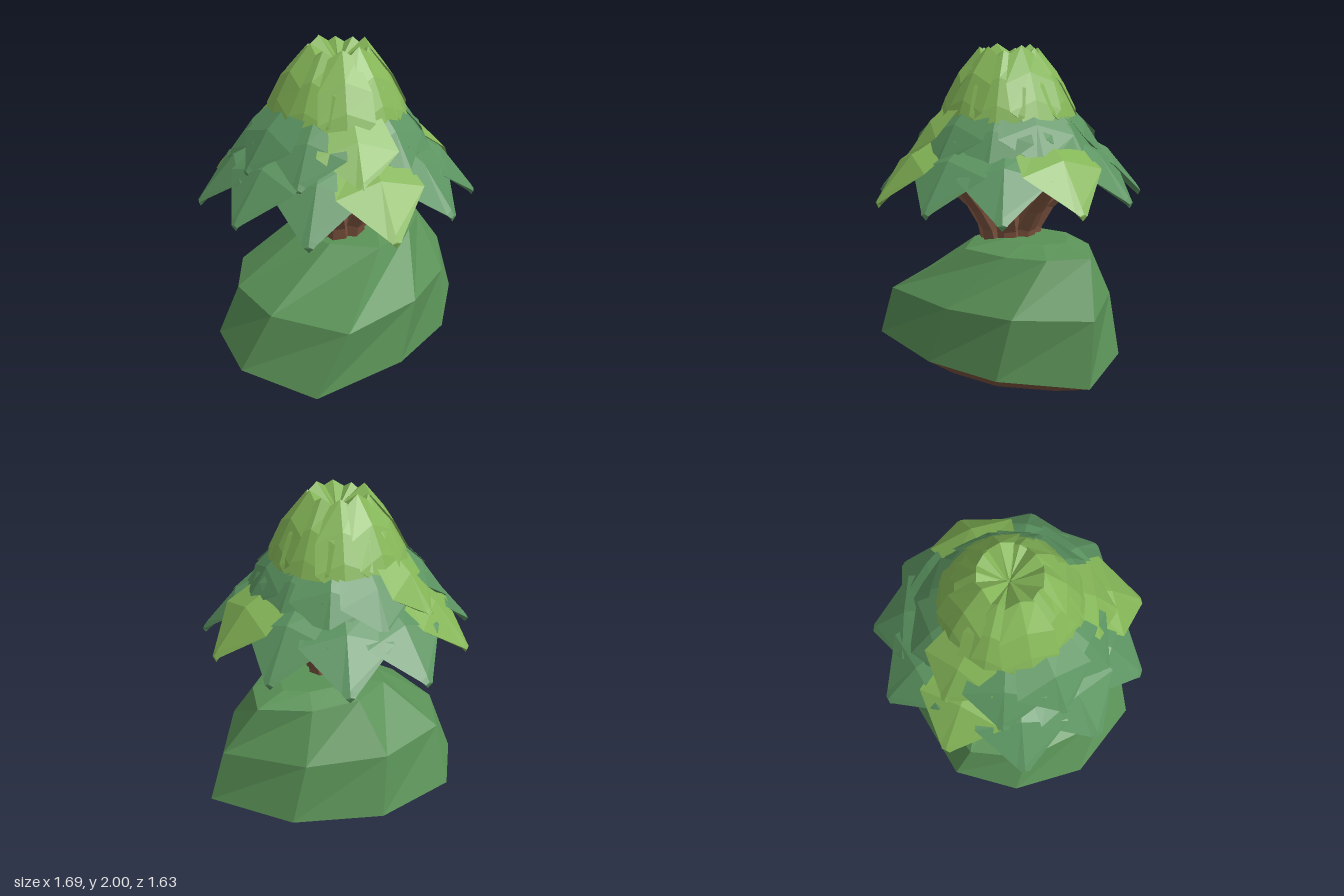
import * as THREE from 'three';

const mat = (name, color) => Object.assign(new THREE.MeshStandardMaterial({ color }), { name });

// Faceted skin through closed rings of [x, y, z] points, with optional end caps
function loft(rings, capStart = true, capEnd = true) {
  const n = rings[0].length, pos = [];
  const tri = (a, b, c) => pos.push(...a, ...b, ...c);
  for (let k = 0; k + 1 < rings.length; k++) {
    for (let i = 0; i < n; i++) {
      const j = (i + 1) % n, lo = rings[k], hi = rings[k + 1];
      tri(lo[i], hi[i], lo[j]);
      tri(lo[j], hi[i], hi[j]);
    }
  }
  const a = rings[0], z = rings[rings.length - 1];
  for (let i = 1; i + 1 < n; i++) {
    if (capStart) tri(a[0], a[i], a[i + 1]);
    if (capEnd) tri(z[0], z[i + 1], z[i]);
  }
  const g = new THREE.BufferGeometry();
  g.setAttribute('position', new THREE.Float32BufferAttribute(pos, 3));
  g.computeVertexNormals();
  return g;
}

// Folded leaf running out along +x; stations are [radius, height, half width, droop]
function leafGeometry(stations, scale, lift) {
  return loft(stations.map(([radius, height, w, droop]) => {
    const r = radius * scale, y = height + lift;
    return [[r, y - droop, w], [r, y, 0], [r, y - droop, -w], [r - 0.01, y - droop - 0.03, 0]];
  }));
}

// Six-sided branch leaning out along +x; stations are [radius, height, thickness]
function branchGeometry(stations) {
  return loft(stations.map(([r, y, t]) => Array.from({ length: 6 }, (_, i) => {
    const a = (i / 6) * Math.PI * 2 + 0.3;
    return [r + Math.cos(a) * t, y - Math.cos(a) * t * 0.25, Math.sin(a) * t];
  })));
}

// Mound ring: one irregular nine-sided outline, twisted, scaled and shifted
const outline = [[1, 0], [0.58, 0.6], [0.04, 0.91], [-0.69, 1], [-1, 0.3], [-0.94, -0.38], [-0.63, -0.88], [0, -1], [0.6, -0.68]];
function moundRing(y, cx, cz, sx, sz, twist) {
  const c = Math.cos(twist), s = Math.sin(twist);
  return outline.map(([x, z]) => [cx + sx * (x * c + z * s), y, cz + sz * (z * c - x * s)]);
}

export function createModel() {
  const model = new THREE.Group();
  const grass = mat('grass green', 0x5a9257);
  const darkLeaf = mat('dark leaf green', 0x5b9360);
  const lightLeaf = mat('light leaf green', 0x84b557);
  const brown = mat('bark brown', 0x7c533e);

  const add = (parent, name, geometry, material) => {
    const m = new THREE.Mesh(geometry, material);
    m.name = name;
    parent.add(m);
    return m;
  };

  // Mound: grassy slope over an earth band, with a flat green underside
  const base = moundRing(0, -0.09, -0.015, 0.55, 0.445, 0);
  const rim = moundRing(0.16, 0, 0, 0.83, 0.66, 0);
  const waist = moundRing(0.52, 0.036, 0.01, 0.731, 0.596, 0.14);
  const shoulder = moundRing(0.82, 0.16, -0.056, 0.436, 0.344, 0.35);
  const crown = moundRing(0.87, 0.187, -0.067, 0.205, 0.184, 0.35);
  const mound = new THREE.Group();
  mound.name = 'mound';
  model.add(mound);
  add(mound, 'grassSlope', loft([rim, waist, shoulder, crown], false), grass);
  add(mound, 'earthBand', loft([base, rim], false, false), brown);
  add(mound, 'underside', loft([base], true, false), grass);

  // Tree axis sits slightly to the side of the mound
  const tree = new THREE.Group();
  tree.name = 'tree';
  tree.position.x = -0.05;
  model.add(tree);

  // Trunk: a bundle of spreading branches around a core
  for (let i = 0; i < 8; i++) {
    const reach = 0.36 + 0.05 * (i % 2);
    const branch = add(tree, 'branch', branchGeometry([
      [0.09, 0.78, 0.085], [0.13, 0.92, 0.072], [0.21, 1.04, 0.062], [reach, 1.22, 0.055], [reach + 0.03, 1.27, 0.03],
    ]), brown);
    branch.rotation.y = (i / 8) * Math.PI * 2 + 0.2;
  }
  add(tree, 'trunkCore', branchGeometry([[0, 0.76, 0.13], [0, 1, 0.12], [0, 1.45, 0.09]]), brown);

  // Tier of leaves spaced evenly round the tree; reach shrinks by skew towards +x
  function leafTier(name, stations, count, start, skew, isLight) {
    for (let i = 0; i < count; i++) {
      const angle = start + (i / count) * Math.PI * 2;
      const scale = 1 - skew * Math.cos(angle) + 0.02 * Math.sin(i * 2.4);
      const lift = 0.015 * Math.cos(i * 2.6);
      const leaf = add(tree, name, leafGeometry(stations, scale, lift), isLight(i) ? lightLeaf : darkLeaf);
      leaf.rotation.y = -angle;
    }
  }
  leafTier('lowerLeaf',
    [[0.08, 1.56, 0.06, 0.01], [0.38, 1.5, 0.2, 0.04], [0.6, 1.38, 0.26, 0.07], [0.79, 1.15, 0.045, 0.02], [0.81, 1.12, 0.025, 0.01]],
    11, 0, 0.02, (i) => i === 0 || i === 3 || i === 7);
  leafTier('middleLeaf',
    [[0.06, 1.76, 0.06, 0.01], [0.27, 1.74, 0.14, 0.04], [0.46, 1.56, 0.23, 0.07], [0.58, 1.38, 0.04, 0.02], [0.6, 1.35, 0.025, 0.01]],
    11, 0.16, 0.08, (i) => i === 3 || i === 7);
  leafTier('topLeaf',
    [[0.01, 1.87, 0.01, 0.01], [0.17, 1.985, 0.08, 0.05], [0.29, 1.84, 0.15, 0.06], [0.37, 1.69, 0.16, 0.06], [0.43, 1.53, 0.025, 0.01]],
    10, 0.09, 0.04, () => true);
  return model;
}
